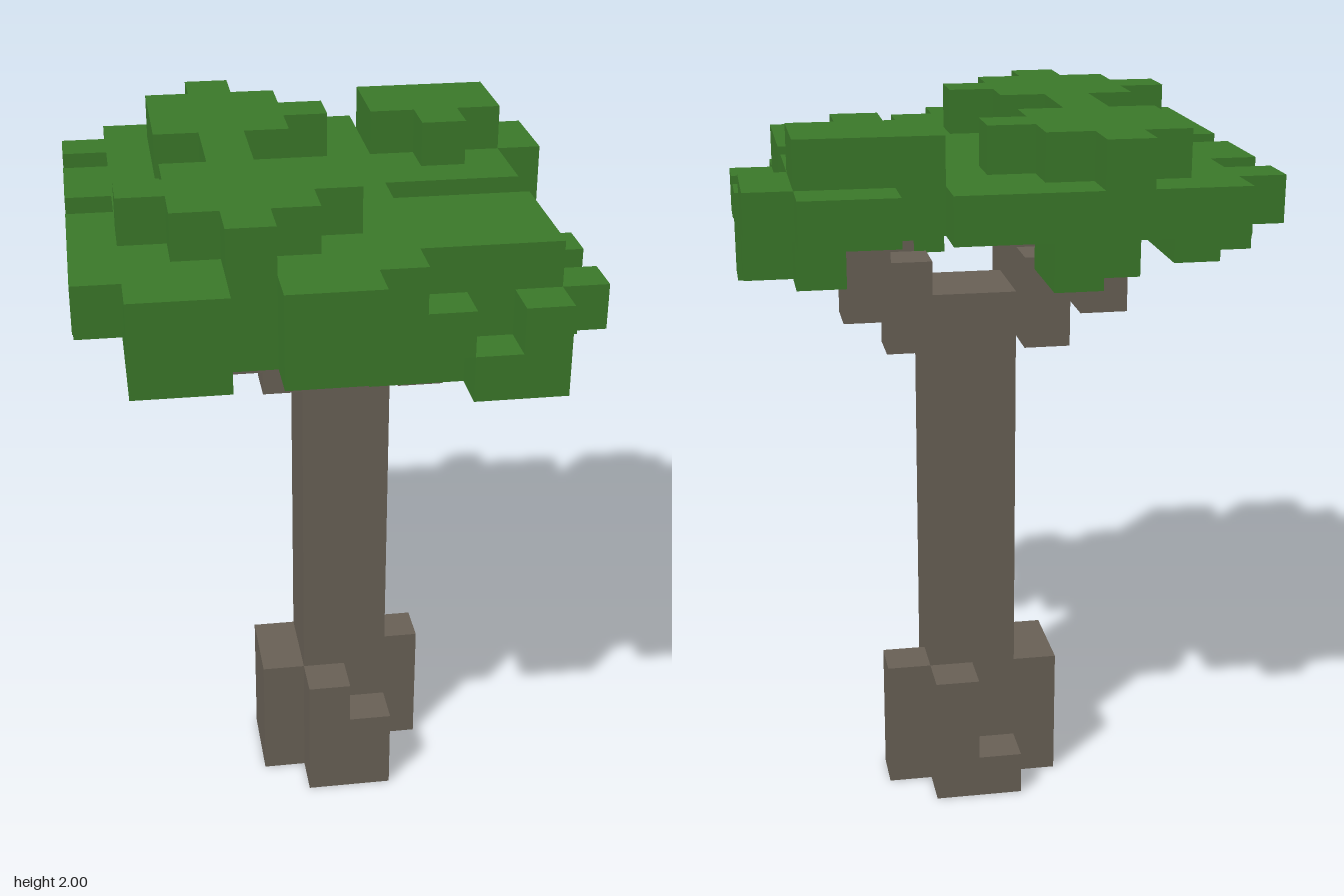
import * as THREE from 'three';
import { mergeGeometries } from 'three/addons/utils/BufferGeometryUtils.js';

const U = 0.125; // edge of one block; the plan is an 11 x 11 grid

// Canopy plans, one string per row from back to front, columns from -x to +x
const CANOPY = {
  canopyTop: [15, [
    '...#.......', '..###..###.', '..####.###.', '..###...#..', '...#.......', '...#.......',
    '..###......', '.#####.....', '..###......', '...#.......', '...........']],
  canopyPlate: [14, [
    '.######.##.', '###########', '.##########', '##########.', '##########.', '.######....',
    '##########.', '##########.', '##########.', '#######....', '.##.##.....']],
  canopyRim: [13, [
    '....#......', '...##....#.', '.#........#', '##.......#.', '.#.........', '.#.....###.',
    '.#.......##', '##.......#.', '.##.....###', '.#######.#.', '.##.##.....']],
  canopyDrops: [12, [
    '...........', '...........', '...........', '...........', '...........', '...........',
    '..........#', '...........', '......####.', '........##.', '...........']],
};

// Upright stacks of blocks: [column, row, first layer, layer after the last]
const STACKS = {
  trunk: [[5, 4, 0, 12], [6, 4, 0, 12], [5, 5, 0, 12], [6, 5, 1, 12]],
  leftRoot: [[7, 4, 0, 3]],
  rightRoot: [[4, 4, 0, 3], [4, 5, 0, 3]],
  frontRoot: [[5, 6, 0, 3], [6, 6, 0, 2]],
  backRoot: [[6, 3, 0, 3], [5, 3, 0, 1]],
  backLeftBranch: [[7, 3, 11, 13], [8, 2, 12, 14]],
  frontLeftBranch: [[7, 6, 11, 13], [8, 7, 12, 14]],
  backRightBranch: [[4, 3, 11, 13], [3, 2, 12, 14]],
  frontRightBranch: [[4, 6, 11, 13], [3, 7, 12, 14]],
};

// Outward directions with the turn that points a plane along each
const SIDES = [
  [0, 0, 1, 0, 0], [0, 0, -1, 0, Math.PI],
  [1, 0, 0, 0, Math.PI / 2], [-1, 0, 0, 0, -Math.PI / 2],
  [0, 1, 0, -Math.PI / 2, 0], [0, -1, 0, Math.PI / 2, 0],
];

const key = (x, y, z) => `${x},${y},${z}`;

function stackCells(stacks) {
  const cells = [];
  for (const [x, z, from, to] of stacks) {
    for (let y = from; y < to; y++) cells.push([x, y, z]);
  }
  return cells;
}

function planCells([y, rows]) {
  const cells = [];
  rows.forEach((row, z) => [...row].forEach((c, x) => {
    if (c === '#') cells.push([x, y, z]);
  }));
  return cells;
}

// Joins only the faces that no neighbouring block covers
function blockGeometry(cells, filled) {
  const faces = [];
  for (const [x, y, z] of cells) {
    for (const [dx, dy, dz, rx, ry] of SIDES) {
      if (filled.has(key(x + dx, y + dy, z + dz))) continue;
      faces.push(new THREE.PlaneGeometry(U, U).rotateX(rx).rotateY(ry).translate(
        (x - 5 + dx / 2) * U, (y + 0.5 + dy / 2) * U, (z - 5 + dz / 2) * U));
    }
  }
  return mergeGeometries(faces);
}

export function createModel() {
  const bark = new THREE.MeshStandardMaterial({ color: 0x696156 });
  bark.name = 'bark';
  const leaf = new THREE.MeshStandardMaterial({ color: 0x3b792a });
  leaf.name = 'leaf green';

  const parts = [];
  for (const [name, stacks] of Object.entries(STACKS)) parts.push([name, stackCells(stacks), bark]);
  for (const [name, plan] of Object.entries(CANOPY)) parts.push([name, planCells(plan), leaf]);

  const filled = new Set(parts.flatMap(([, cells]) => cells.map((c) => key(...c))));

  const tree = new THREE.Group();
  tree.name = 'tree';
  for (const [name, cells, material] of parts) {
    const mesh = new THREE.Mesh(blockGeometry(cells, filled), material);
    mesh.name = name;
    tree.add(mesh);
  }
  return tree;
}
